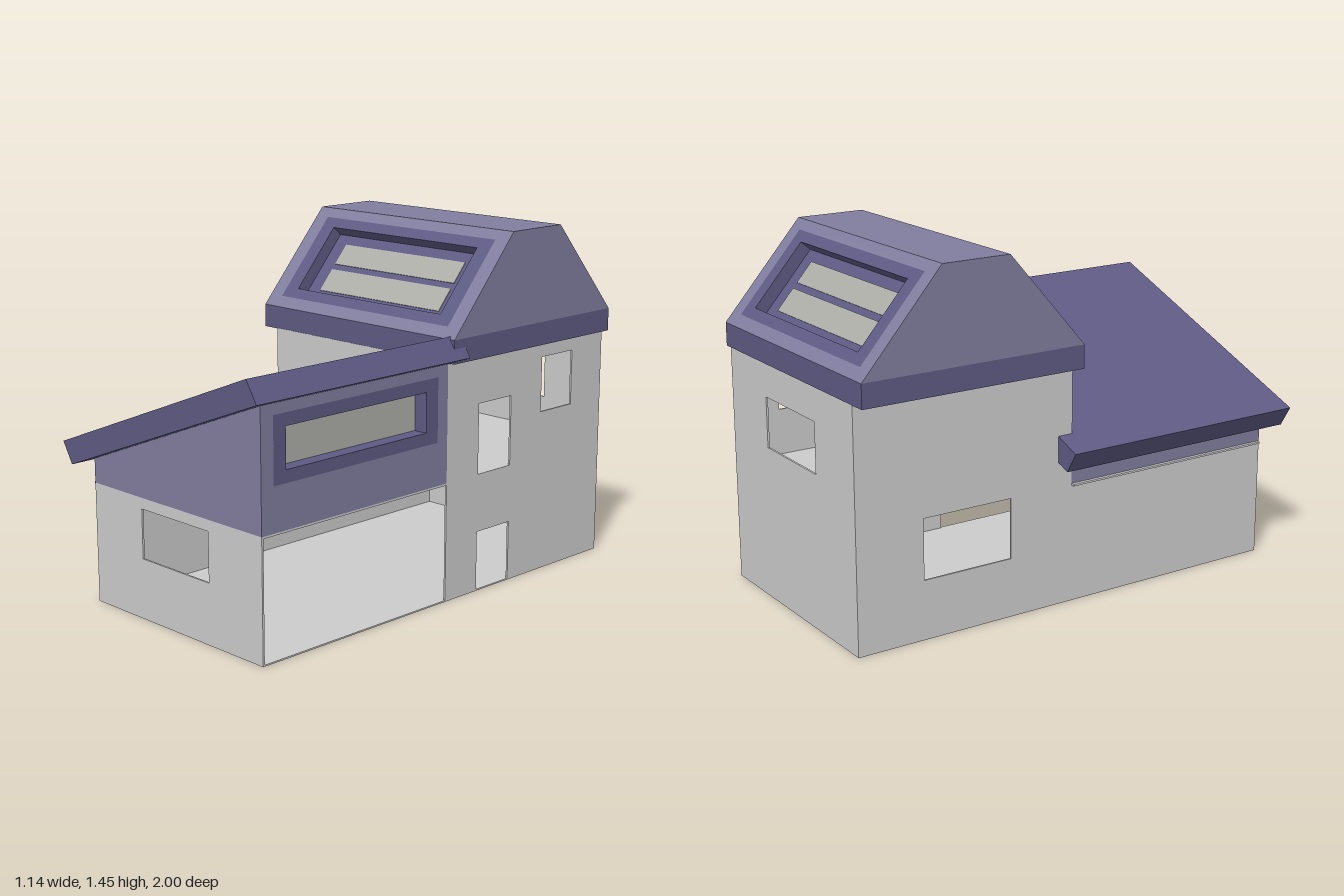
import * as THREE from 'three';

const GREY = 0xcccccc, LILAC = 0x817d9f, PURPLE = 0x5e5a83, GLASS = 0xaeaea8;
const mat = (color) => new THREE.MeshStandardMaterial({ color, flatShading: true, side: THREE.DoubleSide });
const mats = { [GREY]: mat(GREY), [LILAC]: mat(LILAC), [PURPLE]: mat(PURPLE), [GLASS]: mat(GLASS) };
const T = 0.008; // wall thickness

const rect = (x0, x1, y0, y1) => [[x0, y0], [x1, y0], [x1, y1], [x0, y1]];

function add(parent, name, geometry, color) {
  const mesh = new THREE.Mesh(geometry, mats[color]);
  mesh.name = name;
  parent.add(mesh);
  return mesh;
}

// Box given by its limits
function block(parent, name, color, x0, x1, y0, y1, z0, z1) {
  const mesh = add(parent, name, new THREE.BoxGeometry(x1 - x0, y1 - y0, z1 - z0), color);
  mesh.position.set((x0 + x1) / 2, (y0 + y1) / 2, (z0 + z1) / 2);
  return mesh;
}

// Flat plate with openings, its outer face on local z = 0
function plate(parent, name, color, outline, holes = [], depth = T) {
  const toPoints = (pts) => pts.map(([x, y]) => new THREE.Vector2(x, y));
  const shape = new THREE.Shape(toPoints(outline));
  for (const h of holes) shape.holes.push(new THREE.Path(toPoints(h)));
  const geometry = new THREE.ExtrudeGeometry(shape, { depth, bevelEnabled: false });
  geometry.translate(0, 0, -depth);
  return add(parent, name, geometry, color);
}

// Plate facing +x; its horizontal coordinate is -z
function sidePlate(x, ...args) {
  const mesh = plate(...args);
  mesh.rotation.y = Math.PI / 2;
  mesh.position.x = x;
  return mesh;
}

export function createModel() {
  const house = new THREE.Group();
  house.name = 'house';
  const L = -0.46, R = 0.515, FRONT = 0.935, MID = -0.035, BACK = -0.997, FLOOR = 0.49, TOP = 0.972;

  // Floor slabs
  block(house, 'groundFloor', GREY, L, R, 0, 0.006, BACK, FRONT);
  block(house, 'upperFloorRear', GREY, L + T, R - T, FLOOR - T, FLOOR, BACK + T, MID);
  block(house, 'upperFloorFront', GREY, L - 0.015, R, FLOOR - T, FLOOR, MID, FRONT - T);

  // Grey walls
  plate(house, 'lowerFrontWall', GREY, rect(L, R, 0, FLOOR), [rect(-0.17, 0.22, 0.245, 0.445)]).position.z = FRONT;
  plate(house, 'upperFrontWall', GREY, rect(L, R, FLOOR, TOP)).position.z = MID;
  plate(house, 'backWall', GREY, rect(L, R, 0, TOP), [rect(-0.17, 0.22, 0.63, 0.835)]).position.z = BACK + T;
  sidePlate(R, house, 'leftWall', GREY, rect(-MID, -BACK, 0, TOP), [
    rect(0.22, 0.415, 0.006, 0.25),
    rect(0.22, 0.415, 0.49, 0.78),
    rect(0.605, 0.8, 0.68, 0.91),
  ]);
  sidePlate(L + T, house, 'rightWallRear', GREY, rect(-MID, -BACK, 0, TOP), [rect(0.32, 0.71, 0.24, 0.485)]);
  sidePlate(L + T, house, 'rightWallFront', GREY, rect(-FRONT, -MID, 0, FLOOR));

  // Purple upper storey under the sloping roof
  const under = (x) => 0.768 + 0.39 * x;
  plate(house, 'upperGable', LILAC, [[L, FLOOR], [R, FLOOR], [R, under(R)], [L, under(L)]]).position.z = FRONT;
  sidePlate(L + T, house, 'upperRightWall', LILAC, rect(-FRONT, -MID, FLOOR, under(L)));
  const ring = rect(-0.875, -0.02, 0.665, 0.925);
  const opening = rect(-0.815, -0.085, 0.715, 0.875);
  sidePlate(R, house, 'upperLeftWall', LILAC, rect(-FRONT, -MID, FLOOR, under(R)), [ring]);
  sidePlate(R, house, 'sideWindowFrame', PURPLE, ring, [opening], 0.06);
  sidePlate(R - 0.06, house, 'sideWindowGlass', GLASS, opening);

  // Sloping front roof
  const shed = plate(house, 'slopingRoof', PURPLE,
    [[-0.572, 0.65], [-0.52, 0.565], [0.57, 0.99], [0.516, 1.075]], [], 1.1);
  shed.position.z = 1;

  // Rear roof: fascia, ends, flat ridge and two slopes with sunk windows
  const roof = new THREE.Group();
  roof.name = 'rearRoof';
  roof.position.set(0.005, 0, -0.518);
  house.add(roof);
  const W = 0.54, D = 0.482, RIDGE = 0.145, EAVE = 1.065, PEAK = 1.45;
  block(roof, 'fascia', PURPLE, -W, W, 0.97, EAVE, -D, D);
  block(roof, 'ridgeTop', LILAC, -W + T, W - T, PEAK - T, PEAK, -RIDGE, RIDGE);
  const end = [[-D, EAVE], [D, EAVE], [RIDGE, PEAK], [-RIDGE, PEAK]];
  sidePlate(W, roof, 'leftRoofEnd', LILAC, end);
  sidePlate(-W + T, roof, 'rightRoofEnd', LILAC, end);

  const run = D - RIDGE, rise = PEAK - EAVE, slopeLength = Math.hypot(run, rise), sunk = 0.053;
  for (const [name, turn] of [['frontSlope', 0], ['backSlope', Math.PI]]) {
    const side = new THREE.Group();
    side.name = name;
    side.rotation.y = turn;
    roof.add(side);
    const slope = new THREE.Group();
    slope.position.set(0, EAVE, D);
    slope.rotation.x = -Math.atan2(run, rise);
    side.add(slope);
    const frame = rect(-0.4725, 0.4725, 0.053, 0.464);
    const recess = rect(-0.405, 0.405, 0.1, 0.417);
    plate(slope, 'slopeSurface', LILAC, rect(-W + T, W - T, 0, slopeLength), [frame]);
    plate(slope, 'windowFrame', PURPLE, frame, [recess], sunk);
    plate(slope, 'windowBase', PURPLE, recess).position.z = -sunk;
    for (const [s0, s1] of [[0.137, 0.244], [0.271, 0.371]])
      block(slope, 'windowPane', GLASS, -0.3375, 0.3375, s0, s1, -sunk - 0.004, -sunk + 0.003);
  }
  return house;
}
